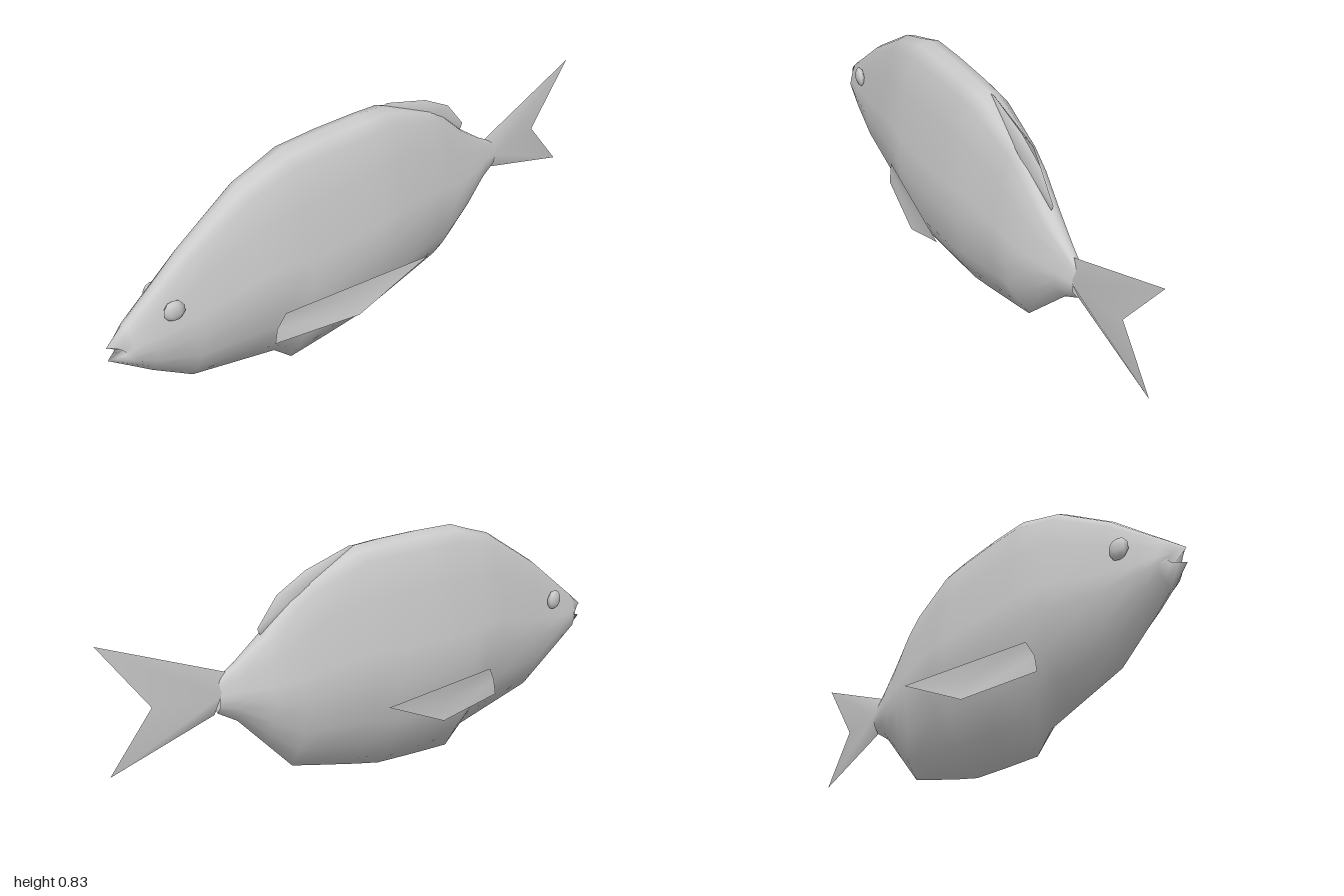
import * as THREE from 'three';

const material = new THREE.MeshStandardMaterial({ color: 0xcccccc, side: THREE.DoubleSide });

function makeMesh(name, points, index) {
  const geometry = new THREE.BufferGeometry();
  geometry.setAttribute('position', new THREE.Float32BufferAttribute(points.flat(), 3));
  geometry.setIndex(index);
  geometry.computeVertexNormals();
  const mesh = new THREE.Mesh(geometry, material);
  mesh.name = name;
  return mesh;
}

// Body stations from mouth to tail root: [z, top, bottom, half width]
const stations = [
  [1, 0.412, 0.365, 0.028], [0.93, 0.468, 0.308, 0.045], [0.86, 0.523, 0.25, 0.058],
  [0.72, 0.635, 0.15, 0.08], [0.5, 0.775, 0.095, 0.118], [0.4, 0.807, 0.07, 0.13],
  [0.33, 0.832, 0.004, 0.136], [0.18, 0.835, 0.013, 0.143], [0.02, 0.833, 0.025, 0.138],
  [-0.08, 0.828, 0.05, 0.13], [-0.27, 0.755, 0.102, 0.105], [-0.34, 0.705, 0.122, 0.096],
  [-0.44, 0.607, 0.23, 0.076], [-0.54, 0.533, 0.338, 0.045], [-0.61, 0.492, 0.382, 0.024],
];

// Half cross-section, top to bottom: [height fraction, width fraction]
const half = [[1, 0], [0.985, 0.26], [0.94, 0.48], [0.79, 0.7], [0.57, 0.93],
  [0.44, 1], [0.25, 0.83], [0.12, 0.45], [0, 0]];
const section = [...half, ...half.slice(1, -1).reverse().map(([t, f]) => [t, -f])];

function createBody() {
  const n = section.length, points = [], index = [];
  stations.forEach(([z, top, bottom, width], j) => {
    for (const [t, f] of section) {
      // the corners of the first ring fall back to open the mouth
      const dz = j === 0 ? 0.05 * Math.abs(f) : 0;
      points.push([f * width, bottom + t * (top - bottom), z - dz]);
    }
  });
  for (let j = 0; j < stations.length - 1; j++) {
    for (let i = 0; i < n; i++) {
      const a = j * n + i, b = j * n + (i + 1) % n;
      index.push(a, b, a + n, b, b + n, a + n);
    }
  }
  // inside of the mouth
  const centre = points.push([0, 0.378, 0.945]) - 1;
  for (let i = 0; i < n; i++) index.push(centre, (i + 1) % n, i);
  return makeMesh('body', points, index);
}

// Sharp-edged fin on the centre plane, swelling to a ridge on both sides.
// The outline is [z, y], clockwise when seen from the model's right.
function createCentreFin(name, outline, [pz, py], thickness) {
  const points = [], index = [];
  for (const side of [1, -1]) {
    const start = points.length, n = outline.length;
    points.push([side * thickness, py, pz], ...outline.map(([z, y]) => [0, y, z]));
    for (let i = 0; i < n; i++) {
      const a = start + 1 + i, b = start + 1 + (i + 1) % n;
      index.push(start, ...(side > 0 ? [b, a] : [a, b]));
    }
  }
  return makeMesh(name, points, index);
}

// Swept-back side fin with a shallow fold along its middle
function createPectoralFin(name, side) {
  const points = [
    [0.118, 0.315, 0.43], [0.212, 0.338, -0.1], [0.172, 0.204, 0.17],
    [0.108, 0.205, 0.47], [0.108, 0.26, 0.46], [0.15, 0.262, 0.2],
  ].map(([x, y, z]) => [side * x, y, z]);
  const faces = [[0, 5, 1], [0, 4, 5], [5, 2, 1], [4, 2, 5], [4, 3, 2]];
  return makeMesh(name, points, faces.flatMap(([a, b, c]) => (side > 0 ? [a, b, c] : [a, c, b])));
}

function createEye(name, side) {
  const eye = new THREE.Mesh(new THREE.SphereGeometry(0.036, 7, 5), material);
  eye.name = name;
  eye.scale.set(0.45, 1, 1);
  eye.position.set(side * 0.061, 0.483, 0.795);
  eye.rotation.y = -side * 0.15;
  return eye;
}

export function createModel() {
  const fish = new THREE.Group();
  fish.name = 'fish';
  fish.add(createBody());

  fish.add(createCentreFin('tailFin',
    [[-0.575, 0.512], [-0.995, 0.69], [-0.83, 0.46], [-0.98, 0.275], [-0.62, 0.38]],
    [-0.61, 0.445], 0.026));

  fish.add(createCentreFin('dorsalFin',
    [[-0.04, 0.82], [-0.1, 0.83], [-0.27, 0.78], [-0.38, 0.72], [-0.455, 0.625],
      [-0.44, 0.59], [-0.3, 0.7]],
    [-0.29, 0.735], 0.03));

  for (const [label, side] of [['left', 1], ['right', -1]]) {
    fish.add(createPectoralFin(label + 'PectoralFin', side));
    fish.add(createEye(label + 'Eye', side));
  }
  return fish;
}
